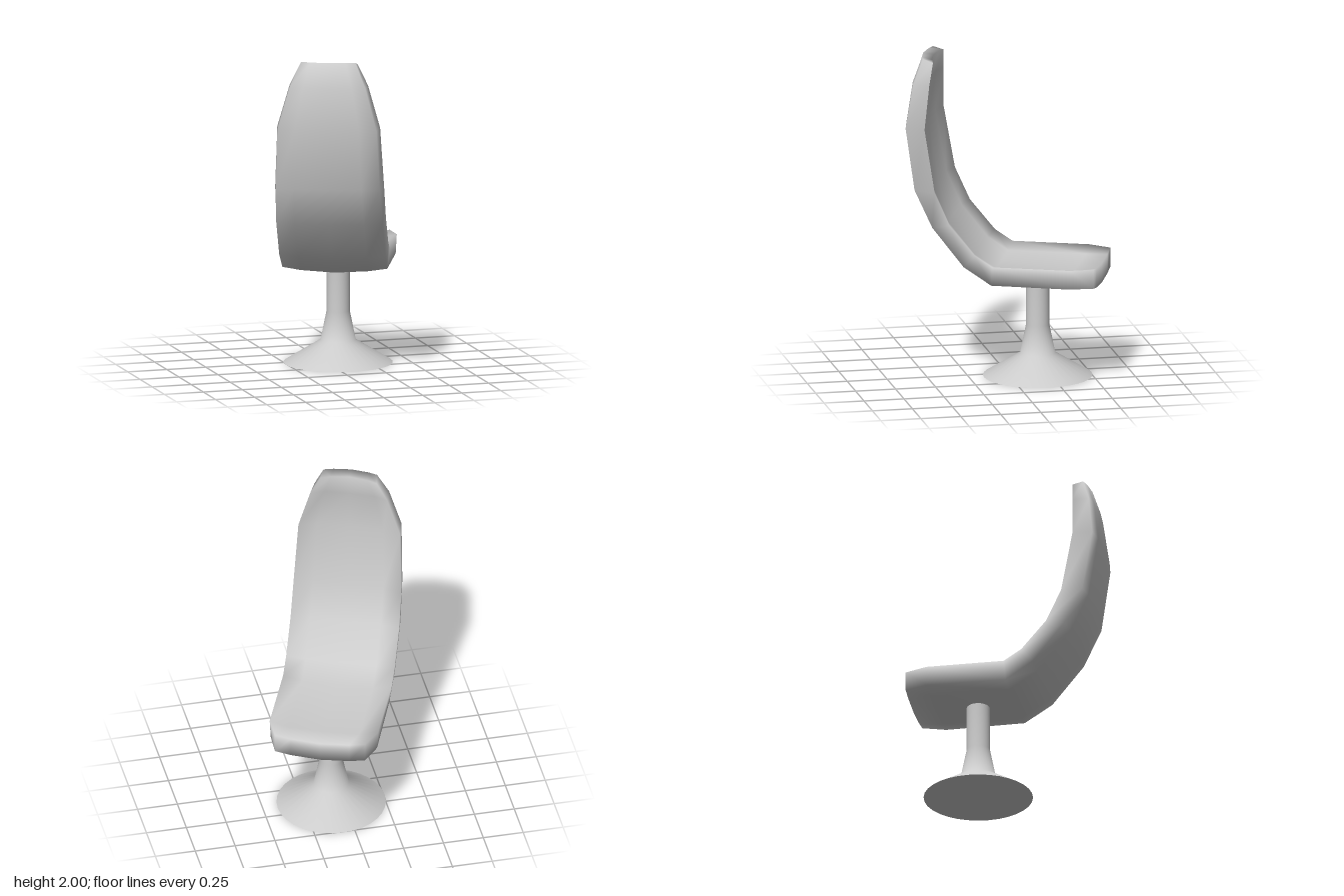
import * as THREE from 'three';

const material = new THREE.MeshStandardMaterial({ color: 0xcccccc });

// Side stations from the seat's front edge to the top of the back:
// [outer forward, outer y, outer half width, inner forward, inner y, inner half width]
const STATIONS = [
  [0.40, 0.63, 0.28, 0.40, 0.75, 0.28],
  [0.26, 0.63, 0.33, 0.26, 0.75, 0.337],
  [-0.229, 0.63, 0.322, -0.22, 0.75, 0.337],
  [-0.40, 0.74, 0.326, -0.33, 0.82, 0.337],
  [-0.595, 0.98, 0.327, -0.485, 1.00, 0.337],
  [-0.707, 1.21, 0.319, -0.578, 1.20, 0.335],
  [-0.765, 1.59, 0.304, -0.645, 1.59, 0.316],
  [-0.732, 1.85, 0.232, -0.63, 1.85, 0.24],
  [-0.683, 2.00, 0.166, -0.619, 1.98, 0.175],
];
const ACROSS = [-1, -0.65, 0, 0.65, 1];

// One-piece seat and back: closed cross-sections bowed outward in the middle
function shellGeometry() {
  const n = ACROSS.length, ring = 2 * n, last = STATIONS.length - 1;
  const positions = [], index = [];

  STATIONS.forEach(([ou, oy, ow, iu, iy, iw], s) => {
    const dir = new THREE.Vector2(ou - iu, oy - iy).normalize();
    const isEnd = s === 0 || s === last;
    const put = (u, y, w, t, depth) =>
      positions.push(w * t, Math.min(2, y + dir.y * depth), -(u + dir.x * depth));
    for (const t of ACROSS) put(ou, oy, ow, t, 0.03 * (1 - t * t));
    for (const t of [...ACROSS].reverse()) {
      // the cushion has a steeper rim away from its ends
      const dish = isEnd ? 0.03 * (1 - t * t) : 0.037 * (1 - t ** 4);
      put(iu, iy, iw, t, dish);
    }
  });

  for (let s = 0; s < last; s++) {
    for (let j = 0; j < ring; j++) {
      const k = (j + 1) % ring;
      const a = s * ring + j, b = s * ring + k, c = a + ring, d = b + ring;
      index.push(a, b, d, a, d, c);
    }
  }
  // front edge and top edge
  for (let j = 0; j < n - 1; j++) {
    const o = j, p = j + 1, i = ring - 1 - j, q = i - 1, e = last * ring;
    index.push(o, i, p, p, i, q);
    index.push(e + o, e + p, e + i, e + p, e + q, e + i);
  }

  const geometry = new THREE.BufferGeometry();
  geometry.setAttribute('position', new THREE.Float32BufferAttribute(positions, 3));
  geometry.setIndex(index);
  geometry.computeVertexNormals();
  return geometry;
}

export function createModel() {
  const chair = new THREE.Group();
  chair.name = 'swivelChair';

  const add = (name, geometry) => {
    const mesh = new THREE.Mesh(geometry, material);
    mesh.name = name;
    chair.add(mesh);
    return mesh;
  };

  add('seatShell', shellGeometry());

  // Flared pedestal
  const profile = [[0.335, 0], [0.108, 0.14], [0.0715, 0.32], [0.0715, 0.63]]
    .map(([r, y]) => new THREE.Vector2(r, y));
  add('pedestal', new THREE.LatheGeometry(profile, 32));
  add('pedestalUnderside', new THREE.CircleGeometry(0.335, 32).rotateX(Math.PI / 2));

  // Whole chair is turned on its column
  chair.rotation.y = -Math.PI / 8;
  chair.position.set(0.075, 0, -0.175);

  const model = new THREE.Group();
  model.name = 'chair';
  model.add(chair);
  return model;
}
